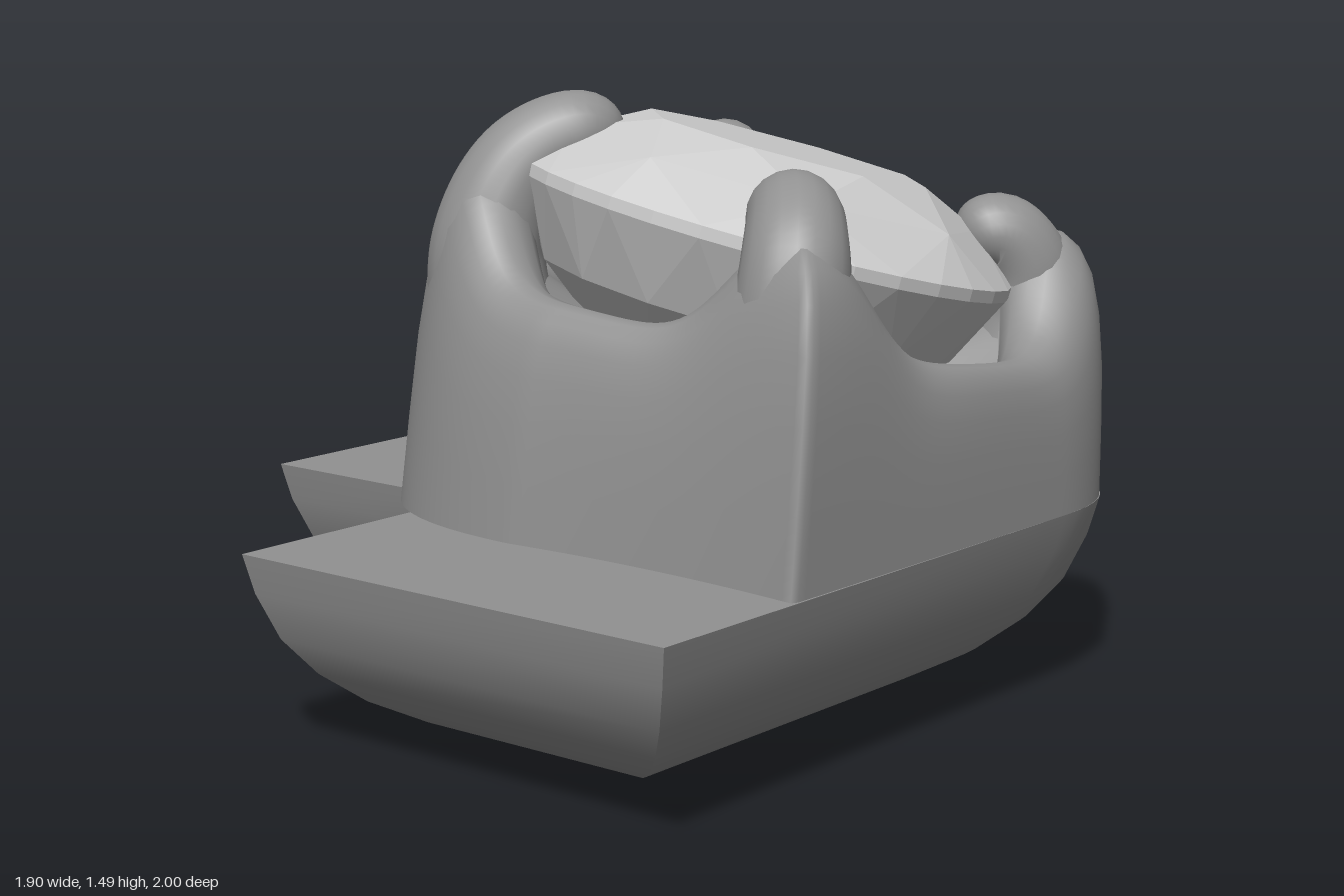
import * as THREE from 'three';
import { mergeVertices, toCreasedNormals } from 'three/addons/utils/BufferGeometryUtils.js';
import { ConvexGeometry } from 'three/addons/geometries/ConvexGeometry.js';

const metal = new THREE.MeshStandardMaterial({ color: 0x929292 });
const stone = new THREE.MeshStandardMaterial({ color: 0xcccccc, flatShading: true });
const V = (x, y, z) => new THREE.Vector3(x, y, z);

function mesh(name, geometry, material = metal) {
  const m = new THREE.Mesh(geometry, material);
  m.name = name;
  return m;
}

// Skin closed rings of equal length, listed from bottom to top
function loft(rings) {
  const n = rings[0].length, pos = [], index = [];
  rings.forEach(r => r.forEach(p => pos.push(p.x, p.y, p.z)));
  for (let k = 0; k < rings.length - 1; k++) {
    for (let i = 0; i < n; i++) {
      const a = k * n + i, b = k * n + (i + 1) % n;
      index.push(a, a + n, b, b, a + n, b + n);
    }
  }
  const g = new THREE.BufferGeometry();
  g.setAttribute('position', new THREE.Float32BufferAttribute(pos, 3));
  g.setIndex(index);
  g.computeVertexNormals();
  return g;
}

const TOP = 0.475;

// L-shaped outline moved inwards by d, with one rounded outer corner
function baseOutline(d) {
  const pts = [[-0.96 + d, -1 + d]];
  const q = 0.44 * Math.sqrt(Math.max(0, 1 - (d / 0.625) ** 2));
  const cx = 0.945 - d, cz = -1 + d;
  for (let i = 0; i <= 14; i++) {
    const t = i / 14;
    pts.push([cx - q * (1 - t) ** 2, cz + q * t * t]);
  }
  pts.push([0.945 - d, 1 - d], [-0.305 + d, 1 - d], [-0.305 + d, 0.25 - d], [-0.96 + d, 0.25 - d]);
  return pts;
}

function createBase() {
  const group = new THREE.Group();
  group.name = 'base';
  // Rounded underside: inset against height
  const profile = [[0.625, 0], [0.5, 0.012], [0.42, 0.025], [0.3, 0.06], [0.2, 0.115],
    [0.12, 0.185], [0.06, 0.27], [0.02, 0.38], [0, TOP]];
  const rings = profile.map(([d, y]) => baseOutline(d).map(([x, z]) => V(x, y, z)));
  group.add(mesh('baseUnderside', toCreasedNormals(loft(rings), 0.6)));
  const shape = new THREE.Shape(baseOutline(0).map(([x, z]) => new THREE.Vector2(x, -z)));
  const top = new THREE.ShapeGeometry(shape).rotateX(-Math.PI / 2);
  group.add(mesh('baseTop', top.translate(0, TOP, 0)));
  return group;
}

const CX = 0.23, CZ = -0.28; // middle of the setting

function createSetting() {
  // Plan: two sharp corners, two rounded ones
  const path = new THREE.Path();
  path.moveTo(-0.6, -0.99);
  path.lineTo(0.5, -1);
  path.quadraticCurveTo(0.945, -1, 0.945, -0.55);
  path.lineTo(0.94, 0.55);
  path.quadraticCurveTo(0.5, 0.49, 0.1, 0.53);
  path.quadraticCurveTo(-0.55, 0.52, -0.57, -0.05);
  path.quadraticCurveTo(-0.57, -0.5, -0.6, -0.99);
  const outline = path.getSpacedPoints(220).slice(0, -1);

  // Rim slopes with the gem and rises to each claw: [x, z, rise]
  const claws = [[-0.36, 0.36, 0.28], [0.87, 0.44, 0.27], [-0.49, -0.92, 0.27], [0.82, -0.87, 0.29]]
    .map(([x, z, rise]) => [Math.atan2(z - CZ, x - CX), rise]);
  const rimHeight = a => {
    let h = 0.95 - 0.07 * Math.cos(a) + 0.07 * Math.sin(a);
    for (const [c, rise] of claws) {
      const d = Math.atan2(Math.sin(a - c), Math.cos(a - c));
      h += rise * Math.exp(-(Math.abs(d / 0.27) ** 2.2));
    }
    return h;
  };

  // Wall profile: [share of the way in to the seat, share of the rim height]
  const profile = [[0, 0], [0, 0.25], [0.01, 0.5], [0.05, 0.7], [0.12, 0.84], [0.23, 0.93],
    [0.38, 0.985], [0.55, 1], [0.72, 0.985], [0.88, 0.93], [0.98, 0.84], [1, 0.7]];
  const rings = profile.map(([s, f]) => outline.map(p => {
    const a = Math.atan2(p.y - CZ, p.x - CX);
    const y = TOP + f * (rimHeight(a) - TOP);
    const lean = 0.12 * (y - TOP);
    const x = p.x + lean * Math.max(0, CX - p.x);
    const z = p.y - lean * Math.max(0, p.y - CZ);
    return V(x + s * (CX + 0.58 * Math.cos(a) - x), y, z + s * (CZ + 0.58 * Math.sin(a) - z));
  }));
  // Closed seat floor under the gem
  rings.push(outline.map(() => V(CX, 0.65, CZ)));
  const group = new THREE.Group();
  group.name = 'setting';
  group.add(mesh('settingWall', loft(rings)));
  // Flat underside where the wall overhangs the base
  const floor = new THREE.ShapeGeometry(new THREE.Shape(outline)).rotateX(Math.PI / 2);
  group.add(mesh('settingUnderside', floor.translate(0, TOP, 0)));
  return group;
}

// Tapered prong with a rounded tip
function createClaw(name, points, r0, r1) {
  const curve = new THREE.CatmullRomCurve3(points.map(p => V(...p)));
  const steps = 44, sides = 20;
  const g = new THREE.TubeGeometry(curve, steps, 1, sides, false);
  const pos = g.attributes.position, v = V(0, 0, 0);
  for (let i = 0; i < pos.count; i++) {
    const u = Math.floor(i / (sides + 1)) / steps;
    const c = curve.getPointAt(u);
    const tip = Math.max(0, (u - 0.84) / 0.16);
    const r = (r0 + (r1 - r0) * u) * Math.sqrt(Math.max(0, 1 - tip * tip));
    v.fromBufferAttribute(pos, i).sub(c).multiplyScalar(r).add(c);
    pos.setXYZ(i, v.x, v.y, v.z);
  }
  g.deleteAttribute('normal');
  g.deleteAttribute('uv');
  const smooth = mergeVertices(g, 1e-5);
  smooth.computeVertexNormals();
  return mesh(name, smooth);
}

function createGem() {
  // Facet rings: radius, height, corners, turn
  const rings = [[0.36, 0.205, 8, 0.5], [0.52, 0.125, 8, 0], [0.625, 0.02, 32, 0],
    [0.625, -0.01, 32, 0], [0.53, -0.2, 16, 0.5], [0.3, -0.38, 8, 0]];
  const pts = [];
  for (const [r, h, n, turn] of rings) {
    for (let i = 0; i < n; i++) {
      const a = (i + turn) / n * Math.PI * 2;
      pts.push(V(r * Math.cos(a), h, r * Math.sin(a)));
    }
  }
  const gem = mesh('gem', new ConvexGeometry(pts), stone);
  gem.quaternion.setFromUnitVectors(V(0, 1, 0), V(0.19, 1, -0.19).normalize());
  gem.position.set(CX, 1.15, CZ);
  return gem;
}

export function createModel() {
  const model = new THREE.Group();
  model.name = 'gemSetting';
  model.add(createBase(), createSetting(), createGem());

  // Claws rise inside the wall corners and bend over the gem
  const side = [[0.71, 0.75, 0.27], [0.74, 1.02, 0.3], [0.73, 1.17, 0.27], [0.66, 1.25, 0.18], [0.56, 1.23, 0.09]];
  const mirrored = side.map(([x, y, z]) => [-z - 0.05, y, -x - 0.05]);
  model.add(
    createClaw('frontRightClaw', [[-0.22, 0.8, 0.2], [-0.24, 1.12, 0.22], [-0.19, 1.31, 0.15],
      [-0.1, 1.385, 0.05], [-0.02, 1.36, -0.04]], 0.17, 0.1),
    createClaw('frontLeftClaw', side, 0.16, 0.1),
    createClaw('backRightClaw', mirrored, 0.16, 0.1),
    createClaw('backLeftClaw', [[0.66, 0.7, -0.71], [0.7, 0.93, -0.75], [0.7, 1.06, -0.73],
      [0.66, 1.13, -0.68], [0.58, 1.11, -0.6]], 0.15, 0.09));
  return model;
}
